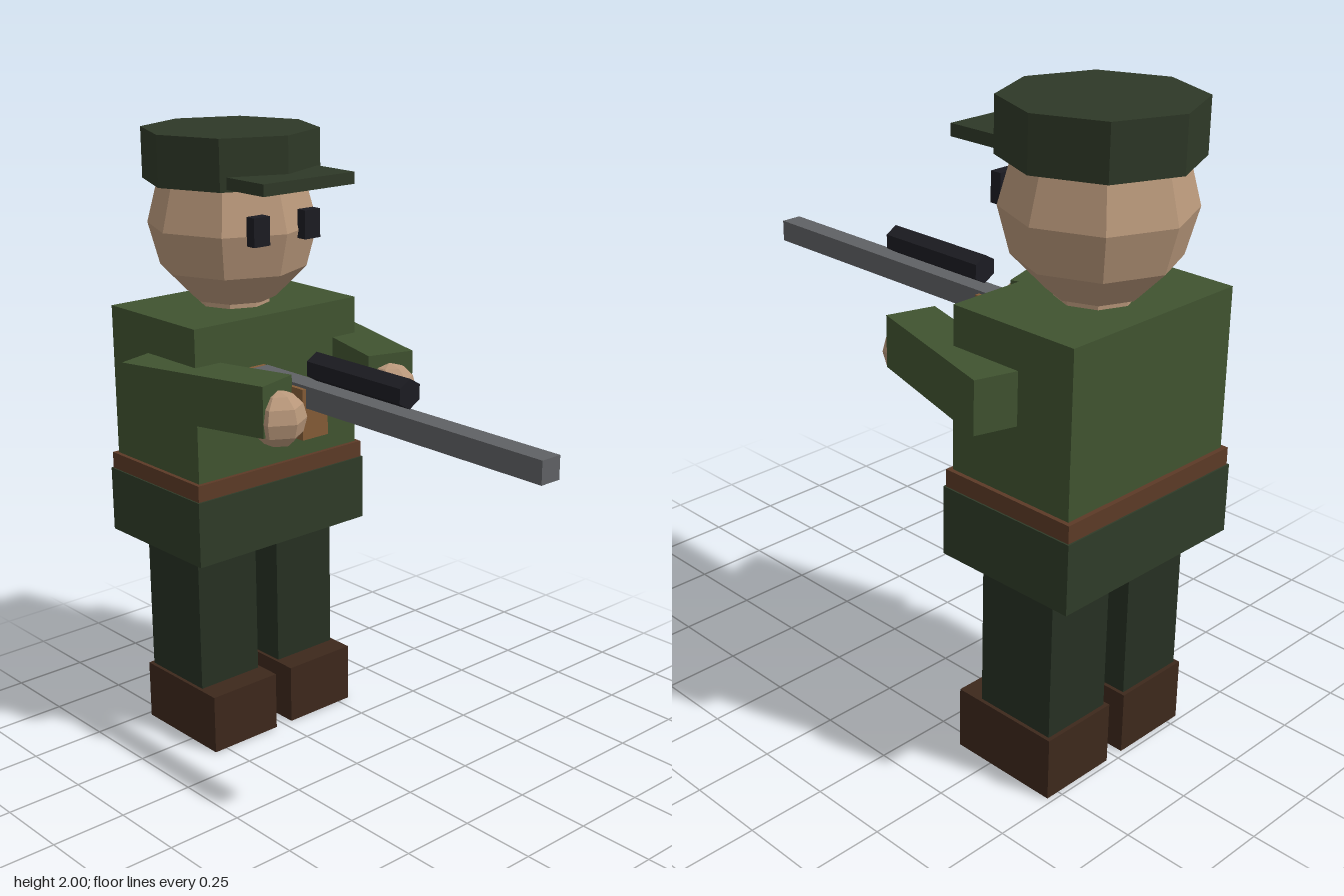
import * as THREE from 'three';

const paint = (color) => new THREE.MeshStandardMaterial({ color, flatShading: true });
const mats = {
  jacket: paint(0x405330),
  skirt: paint(0x2f3b28),
  trousers: paint(0x263022),
  boot: paint(0x3d281c),
  belt: paint(0x5c3a26),
  skin: paint(0xb8977a),
  cap: paint(0x2e3827),
  wood: paint(0x835b36),
  steel: paint(0x5f6164),
  black: paint(0x1c1c22),
};

export function createModel() {
  const model = new THREE.Group();
  model.name = 'riflemanFigure';
  const bodyZ = -0.588;

  function add(name, geometry, mat, x, y, z, parent = model) {
    const mesh = new THREE.Mesh(geometry, mats[mat]);
    mesh.name = name;
    mesh.position.set(x, y, z);
    parent.add(mesh);
    return mesh;
  }

  // Box given by its extents on each axis
  function box(name, mat, [x0, x1], [y0, y1], [z0, z1], parent) {
    return add(name, new THREE.BoxGeometry(x1 - x0, y1 - y0, z1 - z0), mat,
      (x0 + x1) / 2, (y0 + y1) / 2, (z0 + z1) / 2, parent);
  }

  // Torso, belt and jacket skirt
  box('torso', 'jacket', [-0.327, 0.327], [0.93, 1.445], [-0.805, -0.37]);
  box('belt', 'belt', [-0.341, 0.341], [0.88, 0.95], [-0.82, -0.356]);
  box('jacketSkirt', 'skirt', [-0.346, 0.346], [0.68, 0.896], [-0.825, -0.35]);

  // Neck, head and cap
  add('neck', new THREE.CylinderGeometry(0.115, 0.115, 0.1, 8), 'skin', 0, 1.415, bodyZ);
  add('head', new THREE.SphereGeometry(0.272, 8, 6), 'skin', 0, 1.7, bodyZ);
  add('cap', new THREE.CylinderGeometry(0.282, 0.282, 0.16, 8), 'cap', 0, 1.92, bodyZ);
  box('capVisor', 'cap', [-0.18, 0.18], [1.848, 1.885], [-0.385, -0.207]);

  // Paired parts, mirrored across x = 0
  for (const [side, s] of [['left', 1], ['right', -1]]) {
    const pair = (a, b) => (s > 0 ? [a, b] : [-b, -a]);
    box(side + 'Leg', 'trousers', pair(0.045, 0.283), [0.19, 0.7], [-0.72, -0.45]);
    box(side + 'Boot', 'boot', pair(0.033, 0.295), [0, 0.2], [-0.733, -0.37]);
    box(side + 'Eye', 'black', pair(0.07, 0.132), [1.675, 1.765], [-0.35, -0.314]);

    const arm = add(side + 'Arm', new THREE.BoxGeometry(0.155, 0.16, 0.523), 'jacket',
      s * 0.305, 1.245, -0.347);
    arm.rotation.y = -s * 0.286;

    const hand = add(side + 'Hand', new THREE.SphereGeometry(0.088, 6, 6), 'skin',
      s * 0.228, 1.207, -0.098);
    hand.rotation.y = Math.PI / 6;
  }

  // Rifle, pointing forward beside the right hand
  const rifle = new THREE.Group();
  rifle.name = 'rifle';
  model.add(rifle);
  box('stock', 'wood', [-0.16, -0.06], [1.13, 1.289], [-0.39, -0.066], rifle);
  box('barrel', 'steel', [-0.146, -0.076], [1.229, 1.298], [-0.33, 0.87], rifle);
  const scope = add('scope', new THREE.CylinderGeometry(0.045, 0.045, 0.397, 6), 'black',
    -0.111, 1.355, 0.143, rifle);
  scope.rotation.x = Math.PI / 2;

  return model;
}
